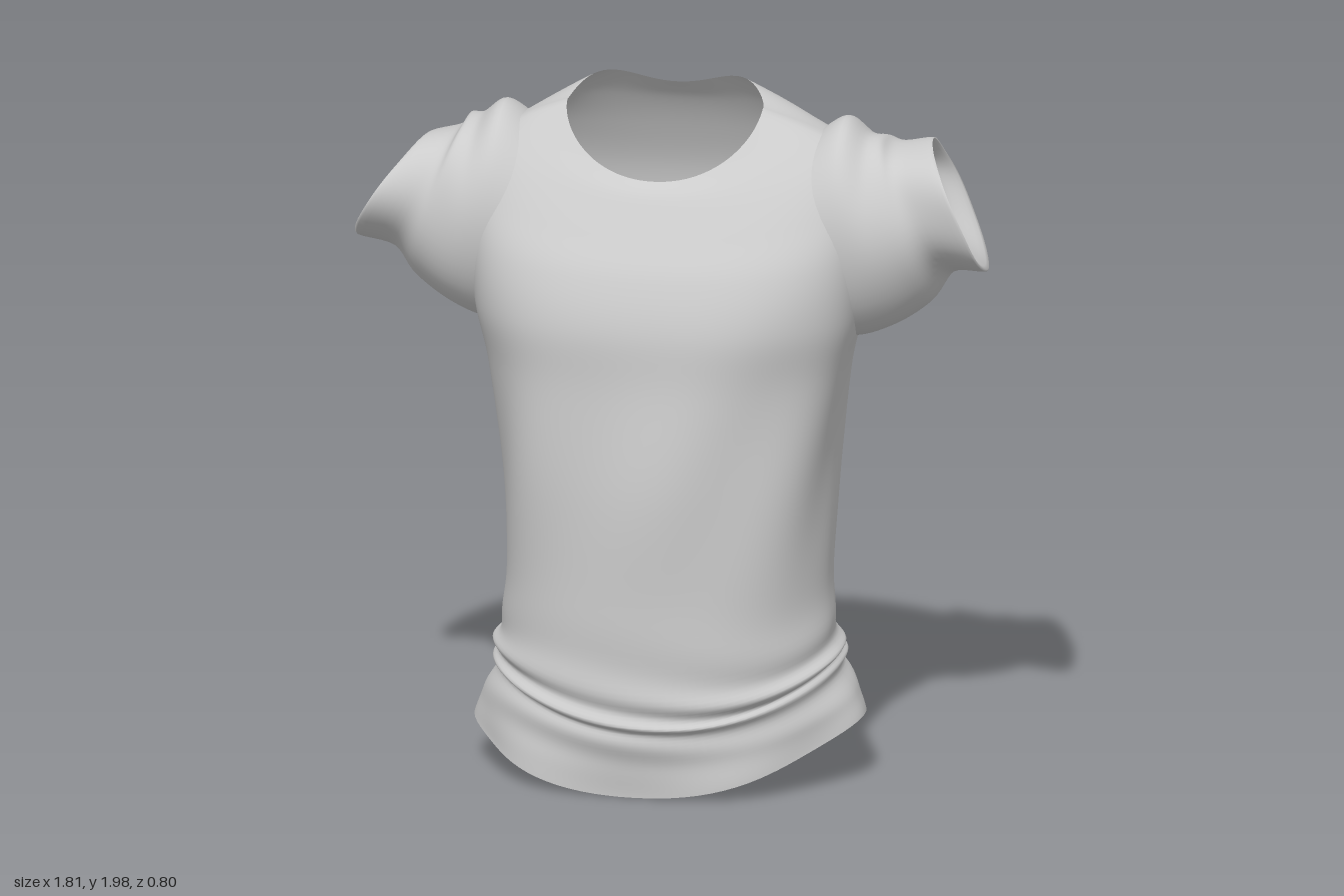
import * as THREE from 'three';

const material = new THREE.MeshStandardMaterial({ color: 0xcccccc, side: THREE.DoubleSide });

// Smooth open tube: point(a, t) gives the surface at angle a and length t (0..1).
function loft(name, around, along, point, keep = () => true) {
  const positions = [], index = [];
  for (let j = 0; j <= along; j++) {
    for (let i = 0; i < around; i++) positions.push(...point((i / around) * Math.PI * 2, j / along));
  }
  for (let j = 0; j < along; j++) {
    for (let i = 0; i < around; i++) {
      const a = j * around + i, b = j * around + ((i + 1) % around);
      const c = a + around, d = b + around;
      const mid = [0, 1, 2].map((k) => (positions[a * 3 + k] + positions[d * 3 + k]) / 2);
      if (keep(...mid)) index.push(a, c, b, b, c, d);
    }
  }
  const geometry = new THREE.BufferGeometry();
  geometry.setAttribute('position', new THREE.Float32BufferAttribute(positions, 3));
  geometry.setIndex(index);
  geometry.computeVertexNormals();
  const mesh = new THREE.Mesh(geometry, material);
  mesh.name = name;
  return mesh;
}

// Catmull-Rom interpolation through rows of section values.
function sample(rows, t) {
  const f = t * (rows.length - 1), k = Math.min(Math.floor(f), rows.length - 2), u = f - k;
  const row = (i) => rows[Math.max(0, Math.min(rows.length - 1, i))];
  return row(k).map((p1, c) => {
    const p0 = row(k - 1)[c], p2 = row(k + 1)[c], p3 = row(k + 2)[c];
    return p1 + 0.5 * u * (p2 - p0 + u * (2 * p0 - 5 * p1 + 4 * p2 - p3 + u * (3 * (p1 - p2) + p3 - p0)));
  });
}

const bump = (v, centre, width) => Math.exp(-(((v - centre) / width) ** 2));

// Body sections: half width, front z, back z, then height at side, front, back.
const bodySections = [
  [0.55, 0.365, -0.38, 0.16, 0.01, 0.16],
  [0.53, 0.37, -0.39, 0.23, 0.10, 0.22],
  [0.49, 0.385, -0.395, 0.32, 0.19, 0.30],
  [0.495, 0.395, -0.38, 0.37, 0.24, 0.35],
  [0.475, 0.39, -0.34, 0.43, 0.34, 0.43],
  [0.46, 0.39, -0.36, 0.60, 0.55, 0.60],
  [0.475, 0.39, -0.385, 0.90, 0.88, 0.90],
  [0.51, 0.365, -0.39, 1.18, 1.18, 1.18],
  [0.55, 0.355, -0.395, 1.36, 1.36, 1.36],
  [0.57, 0.31, -0.39, 1.56, 1.50, 1.52],
  [0.56, 0.25, -0.37, 1.72, 1.60, 1.66],
  [0.51, 0.205, -0.32, 1.82, 1.67, 1.79],
  [0.41, 0.17, -0.265, 1.88, 1.72, 1.89],
  [0.28, 0.135, -0.21, 1.93, 1.75, 1.95],
];

function bodyPoint(a, t) {
  const [w, zf, zb, ys, yf, yb] = sample(bodySections, t);
  const s = Math.sin(a), c = Math.cos(a), back = s < 0;
  // squarer across the chest and back, round at hem and neck
  const square = 0.96 - (back ? 0.16 * (1 - bump(t, 1, 0.06)) : 0.14 * bump(t, 0.66, 0.15));
  const mid = (zf + zb) / 2, half = (zf - zb) / 2;
  let x = w * Math.sign(c) * Math.abs(c) ** square;
  let z = mid + half * Math.sign(s) * Math.abs(s) ** square;
  let y = ys + ((back ? yb : yf) - ys) * Math.abs(s) ** (back ? 2 : 2 - 0.8 * t);
  // ragged back of the collar
  if (back) y += 0.045 * Math.sin(2 * a) ** 2 * bump(t, 1, 0.08);
  // gathered folds sweeping round the hem, long creases on the chest and back
  const gather = 0.011 * bump(t, 0.22, 0.1) * Math.sin(t * 75 + 2 * Math.sin(a * 2 + 0.6));
  const crease = 0.008 * bump(y, 0.95, 0.35) * Math.sin(a * 7 + y * 4);
  const hem = 0.012 * bump(t, 0, 0.08) * Math.sin(a * 6 + 1);
  const offset = gather + crease + hem;
  x += c * offset - 0.02 * bump(t, 1, 0.1);
  z += s * offset;
  // hem hangs lower on the right
  y += 0.6 * hem * (1 - Math.max(0, s)) + 0.025 * c * bump(t, 0, 0.15);
  // back: groove left of centre, flatter left side, fuller right shoulder blade
  if (back) {
    const left = 0.5 + 0.5 * Math.tanh(x / 0.08);
    z += bump(y, 0.85, 0.42) * s * s * (0.045 * left + 0.025 * bump(x, 0.08, 0.07));
    z -= 0.025 * bump(x, -0.32, 0.15) * bump(y, 1.35, 0.25);
  }
  return [x, y, z];
}

// Sleeve sections: distance out, centre y, centre z, y radius, z radius, slant.
const sleeveSections = [
  [0.40, 1.58, -0.09, 0.27, 0.225, 0],
  [0.50, 1.59, -0.09, 0.315, 0.235, 0.04],
  [0.59, 1.585, -0.09, 0.275, 0.23, 0.13],
  [0.665, 1.62, -0.095, 0.235, 0.21, 0.3],
];
// Pinch, flared rim, then the cuff tucked back inside; the right one hangs lower.
const cuffSections = {
  1: [
    [0.72, 1.655, -0.10, 0.18, 0.2, 0.45],
    [0.82, 1.67, -0.08, 0.18, 0.215, 0.45],
    [0.73, 1.70, -0.08, 0.115, 0.15, 0.35],
    [0.70, 1.76, -0.07, 0.045, 0.11, 0.25],
  ],
  '-1': [
    [0.71, 1.645, -0.10, 0.175, 0.2, 0.5],
    [0.80, 1.655, -0.09, 0.145, 0.205, 0.65],
    [0.73, 1.68, -0.09, 0.1, 0.15, 0.45],
    [0.70, 1.73, -0.08, 0.045, 0.11, 0.3],
  ],
};

function sleevePoint(side, a, t) {
  const [out, cy, cz, ry, rz, slant] = sample([...sleeveSections, ...cuffSections[side]], t);
  const c = Math.cos(a), s = -side * Math.sin(a);
  const wrinkle = 1 + 0.025 * Math.sin(a * 5 + t * 9) * t;
  const y = cy + ry * c * wrinkle;
  const z = cz + rz * s * wrinkle;
  // the rim reaches further out at the front than at the back
  const skew = 0.035 * s * bump(t, 0.72, 0.12);
  return [side * (out - slant * ry * c + skew), y, z];
}

export function createModel() {
  const shirt = new THREE.Group();
  shirt.name = 'shirt';

  // Body with the armholes left open under the sleeves
  const inArmhole = (x, y, z) =>
    Math.abs(x) > 0.42 && ((y - 1.59) / 0.23) ** 2 + ((z + 0.09) / 0.16) ** 2 < 1;
  shirt.add(loft('body', 96, 104, bodyPoint, (x, y, z) => !inArmhole(x, y, z)));

  // Short sleeves with flared, slanted cuffs
  for (const side of [1, -1]) {
    shirt.add(loft(side > 0 ? 'leftSleeve' : 'rightSleeve', 48, 42, (a, t) => sleevePoint(side, a, t)));
  }
  return shirt;
}
